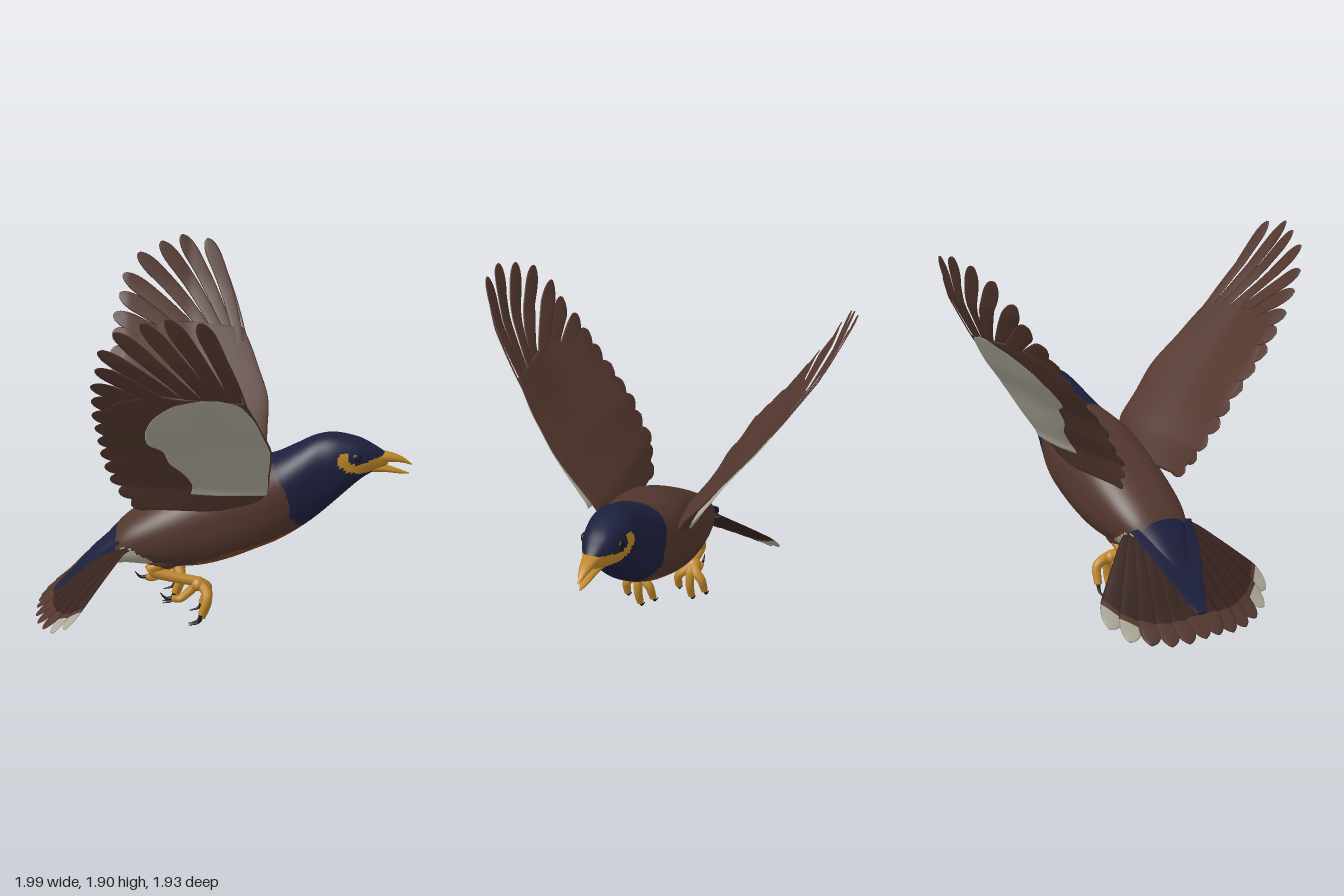
import * as THREE from 'three';

const mat = (name, color) => {
  const m = new THREE.MeshStandardMaterial({ color, side: THREE.DoubleSide });
  m.name = name;
  return m;
};
const brown = mat('brown plumage', 0x53372e), dark = mat('dark tail brown', 0x38241f);
const navy = mat('navy hood', 0x1d203e), rust = mat('rust belly', 0x7a4828);
const grey = mat('pale grey', 0xb0ab9c), yellow = mat('yellow skin', 0xbf8729);
const black = mat('black claw', 0x1d1718);

const V = (x, y, z) => new THREE.Vector3(x, y, z);
const lerp = THREE.MathUtils.lerp, clamp = THREE.MathUtils.clamp;

// Linear lookup in a table of [key, value] with rising keys
function look(table, k) {
  let i = 0;
  while (i < table.length - 2 && k > table[i + 1][0]) i++;
  const [a, b] = [table[i], table[i + 1]];
  return lerp(a[1], b[1], clamp((k - a[0]) / (b[0] - a[0]), 0, 1));
}

function inside(poly, x, y) {
  let hit = false;
  poly.forEach(([ax, ay], i) => {
    const [bx, by] = poly[(i + 1) % poly.length];
    if ((ay > y) !== (by > y) && x < ax + (bx - ax) * (y - ay) / (by - ay)) hit = !hit;
  });
  return hit;
}

// Skin closed rings; pick(centre, u) chooses a material index for each quad
function loft(name, rings, mats, pick = () => 0) {
  const centre = (r) => r.reduce((s, p) => s.add(p), V(0, 0, 0)).divideScalar(r.length);
  const cap = (r) => { const c = centre(r); return r.map(() => c); };
  const all = [cap(rings[0]), ...rings, cap(rings[rings.length - 1])];
  const m = rings[0].length, list = [].concat(mats), buckets = list.map(() => []);
  for (let i = 0; i < all.length - 1; i++) for (let j = 0; j < m; j++) {
    const k = (j + 1) % m, a = i * m + j, b = i * m + k, c = a + m, d = b + m;
    const mid = centre([all[i][j], all[i][k], all[i + 1][j], all[i + 1][k]]);
    buckets[pick(mid, i / (all.length - 2))].push(a, b, c, b, d, c);
  }
  const geo = new THREE.BufferGeometry().setFromPoints(all.flat());
  geo.setIndex(buckets.flat());
  let start = 0;
  buckets.forEach((b, i) => { geo.addGroup(start, b.length, i); start += b.length; });
  geo.computeVertexNormals();
  const mesh = new THREE.Mesh(geo, list.length > 1 ? list : list[0]);
  mesh.name = name;
  return mesh;
}

// Solid along x from stations [x, top, bottom, half width]
function hull(name, stations, n, m, mats, pick) {
  const s1 = new THREE.SplineCurve(stations.map((s) => new THREE.Vector2(s[0], s[1])));
  const s2 = new THREE.SplineCurve(stations.map((s) => new THREE.Vector2(s[2], s[3])));
  const pw = (v) => Math.sign(v) * Math.abs(v) ** 0.84;
  const rings = [];
  for (let i = 0; i <= n; i++) {
    const p = s1.getPoint(i / n), q = s2.getPoint(i / n);
    rings.push(Array.from({ length: m }, (_, j) => {
      const a = (j / m) * Math.PI * 2;
      return V(p.x, (p.y + q.x) / 2 + (p.y - q.x) / 2 * pw(Math.sin(a)), q.y * pw(Math.cos(a)));
    }));
  }
  return loft(name, rings, mats, pick);
}

// Thin lens between two edge lines, laid on a curved surface by map(a, b, offset)
function sheet(name, edgeA, edgeB, map, half, off, mats, { n = 36, m = 32, pick } = {}) {
  const [A, B] = [edgeA, edgeB].map((e) => new THREE.SplineCurve(e.map((p) => new THREE.Vector2(...p))));
  const rings = [];
  for (let i = 0; i <= n; i++) {
    const a = A.getPoint(i / n), b = B.getPoint(i / n);
    rings.push(Array.from({ length: m }, (_, j) => {
      const t = (j / m) * Math.PI * 2, w = 0.5 - 0.5 * Math.cos(t);
      return map(lerp(a.x, b.x, w), lerp(a.y, b.y, w), off + half * Math.sin(t));
    }));
  }
  return loft(name, rings, mats, pick);
}

// Round-tipped feather
function feather(name, base, tip, w, bend, map, off, mats, pick) {
  const dx = tip[0] - base[0], dy = tip[1] - base[1], len = Math.hypot(dx, dy);
  const A = [], B = [], n = 20;
  for (let i = 0; i <= n; i++) {
    const u = Math.sin((i / n) * Math.PI / 2);
    const r = w * (0.6 + 0.4 * u) * (u > 0.8 ? Math.sqrt(Math.max(0.002, 1 - ((u - 0.8) / 0.2) ** 2)) : 1);
    const s = bend * Math.sin(u * Math.PI), nx = -dy / len, ny = dx / len;
    const x = base[0] + dx * u, y = base[1] + dy * u;
    A.push([x + nx * (s + r), y + ny * (s + r)]);
    B.push([x + nx * (s - r), y + ny * (s - r)]);
  }
  return sheet(name, A, B, map, 0.005, off, mats, { n, m: 10, pick });
}

// Tube that narrows from r0 to r1
function taper(name, pts, r0, r1, material) {
  const curve = new THREE.CatmullRomCurve3(pts.map((p) => V(...p))), n = 14, sides = 10;
  const geo = new THREE.TubeGeometry(curve, n, r0, sides), pos = geo.attributes.position;
  for (let i = 0; i < pos.count; i++) {
    const u = Math.floor(i / (sides + 1)) / n, c = curve.getPointAt(u);
    const p = V(0, 0, 0).fromBufferAttribute(pos, i).sub(c).multiplyScalar(lerp(1, r1 / r0, u)).add(c);
    pos.setXYZ(i, p.x, p.y, p.z);
  }
  const mesh = new THREE.Mesh(geo, material);
  mesh.name = name;
  return mesh;
}

function blob(name, p, r, material) {
  const mesh = new THREE.Mesh(new THREE.SphereGeometry(1, 24, 16), material);
  mesh.name = name;
  mesh.position.set(...p);
  mesh.scale.set(...r);
  return mesh;
}

const tailLine = [[-1, .08], [-.85, .2], [-.7, .36], [-.5, .53]];

// Body and head with plumage zones
function makeBody() {
  const face = [[.595, .93], [.61, .975], [.65, .975], [.665, .92], [.73, .908], [.78, .93], [.88, .945],
    [.88, .86], [.78, .86], [.72, .858], [.64, .88]];
  const hood = [[.5, .5], [.58, .42], [.65, .36], [.75, .35], [.85, .3], [.93, .26]];
  const zone = (c) => {
    const rump = look(tailLine, c.x) - 0.05;
    if (inside(face, c.x, c.y)) return 4;
    if (c.x > look(hood, c.y)) return 1;
    if (c.x < -0.55 && c.y > rump) return 1;
    if (c.x < -0.36 && c.y < Math.min(0.4 - 0.6 * (c.x + 0.36), 0.47, rump)) return 3;
    if (c.x < 0.1 && c.x > -0.22 && c.y < 0.45 && Math.abs(c.z) < Math.min(0.075, 0.35 * (0.12 - c.x))) return 3;
    if (c.x < 0.37 && c.x > -0.22 && c.y < 0.43 + 0.34 * c.x) return 2;
    return 0;
  };
  return hull('body', [[.87, .94, .88, .03], [.8, .985, .85, .065], [.72, 1.025, .8, .1], [.6, 1.05, .69, .13],
    [.5, 1.035, .6, .145], [.4, .985, .53, .175], [.3, .935, .475, .205], [.2, .91, .435, .225],
    [.05, .88, .375, .232], [-.1, .82, .335, .228], [-.25, .74, .328, .22], [-.4, .65, .34, .198],
    [-.5, .58, .345, .168], [-.58, .5, .33, .125], [-.7, .37, .305, .065], [-.8, .25, .235, .01]], 160, 72,
  [brown, navy, rust, grey, yellow], zone);
}

// Raised wing on the +z side: thick at the root, thin outside
function makeWing() {
  const g = new THREE.Group();
  const rise = [[.68, .17], [.845, .25], [.96, .345], [1.08, .435], [1.26, .585], [1.44, .715], [1.65, .855], [1.9, .97]];
  const map = (x, y, o) => V(x, y, look(rise, y)
    + o * (0.6 + 2.4 * clamp((1.15 - y) / 0.35, 0, 1) * clamp((x + 0.35) / 0.35, 0, 1))
    - 0.07 * clamp((-0.18 - x) / 0.34, 0, 1) * clamp((y - 0.7) / 0.4, 0, 1));
  g.add(sheet('wingPanel', [[.18, .7], [.24, .82], [.25, .95], [.255, 1.1], [.205, 1.24], [.165, 1.34], [.12, 1.43]],
    [[-.4, .69], [-.49, .8], [-.53, .93], [-.56, 1.1], [-.57, 1.26], [-.5, 1.4], [-.28, 1.47]],
    map, 0.015, 0, brown));
  // pale patch under the wing
  const patch = [[.81, -.15, .235], [.87, -.14, .24], [.95, -.18, .24], [1.02, -.25, .245], [1.1, -.28, .245],
    [1.14, -.35, .235], [1.22, -.36, .205], [1.3, -.33, .175], [1.36, -.28, .14], [1.42, -.2, .09], [1.45, -.08, -.01]];
  g.add(sheet('underwingPatch', patch.map((p) => [p[1], p[0]]), patch.map((p) => [p[2], p[0]]),
    map, 0.004, 0.016, grey));
  // spread primaries, front to back
  [[-.085, 1.88], [-.23, 1.9], [-.345, 1.87], [-.47, 1.815], [-.55, 1.71], [-.57, 1.61], [-.6, 1.51]]
    .forEach((tip, i) => g.add(feather('primaryFeather', [lerp(.1, -.1, i / 6), lerp(1.36, 1.26, i / 6)], tip,
      0.045, -0.015, map, (i % 2) * 0.01 - 0.005, brown)));
  g.add(feather('leadingFeather', [.14, 1.36], [0, 1.76], 0.008, -0.01, map, 0.004, brown));
  // scalloped secondaries
  [[-.605, 1.42], [-.61, 1.33], [-.605, 1.24], [-.6, 1.15], [-.595, 1.06], [-.58, .97], [-.56, .88], [-.52, .8], [-.46, .72]]
    .forEach((tip, i) => g.add(feather('secondaryFeather', [-.05, 1.25 - i * 0.055], tip,
      0.056, 0, map, (i % 2) * 0.007 - 0.004, brown)));
  return g;
}

// Half of the tail fan, drooping and stacked lower towards the outside
const tailMap = (x, z, o) => V(x, look(tailLine, x) - 0.25 * z * z + o - 0.015, z);
function makeTailHalf() {
  const g = new THREE.Group();
  [[-.99, .04], [-.985, .13], [-.965, .22], [-.925, .31], [-.87, .4], [-.79, .47]].forEach((tip, i) =>
    g.add(feather('tailFeather', [-.5, .02 + i * .028], tip, 0.064, 0, tailMap, -0.009 * i,
      [dark, brown, grey], (c, u) => (u < 0.58 ? 0 : i > 3 && u > 0.62 ? 2 : 1))));
  return g;
}

// Leg with three front toes and a hind toe, each ending in a claw
function makeLeg(side, dx, dy) {
  const g = new THREE.Group(), z = 0.125 * side;
  const at = (x, y, o = 0) => [x + dx, y + dy, z + o];
  g.add(blob('thigh', [-.3, .385, z * 0.85], [.1, .055, .06], brown));
  g.add(taper('shank', [[-.28, .38, z], [-.37, .33, z], at(-.26, .29), at(-.14, .265)], .035, .027, yellow));
  g.add(blob('footPad', at(-.13, .25), [.04, .038, .045], yellow));
  [-1, 0, 1].forEach((k) => {
    const s = k * 0.066, up = Math.abs(k) * 0.05;
    g.add(taper('frontToe', [at(-.13, .26), at(-.085, .22, s * .6), at(-.08, .14 + up, s), at(-.11, .055 + up, s * 1.15)],
      .03, .02, yellow));
    g.add(taper('frontClaw', [at(-.11, .06 + up, s * 1.15), at(-.13, .022 + up, s * 1.2), at(-.18, .006 + up, s * 1.2)],
      .012, .002, black));
  });
  g.add(taper('hindToe', [at(-.13, .255), at(-.18, .2), at(-.23, .16), at(-.27, .165)], .027, .018, yellow));
  g.add(taper('hindClaw', [at(-.265, .165), at(-.3, .165), at(-.33, .195)], .012, .002, black));
  return g;
}

export function createModel() {
  const model = new THREE.Group();
  model.name = 'bird';
  model.add(makeBody());
  // open beak
  model.add(hull('upperBeak', [[.77, .95, .9, .06], [.86, .95, .898, .042], [.94, .925, .893, .024], [1, .882, .876, .003]],
    24, 24, yellow));
  model.add(hull('lowerBeak', [[.76, .895, .845, .055], [.85, .878, .842, .036], [.93, .853, .832, .02], [.985, .834, .829, .003]],
    24, 24, yellow));
  // paired parts, mirrored across z
  for (const [side, name] of [[1, 'right'], [-1, 'left']]) {
    const half = new THREE.Group();
    half.name = name + 'Side';
    const wing = makeWing(), tail = makeTailHalf();
    wing.name = name + 'Wing';
    tail.name = name + 'Tail';
    half.add(wing, tail, blob('eye', [.7, .945, .098], [.026, .024, .014], black));
    half.scale.z = side;
    model.add(half);
  }
  // tail coverts above and below
  model.add(sheet('upperTailCoverts', [[-.53, .18], [-.65, .145], [-.78, .085], [-.9, .025]],
    [[-.53, -.18], [-.65, -.145], [-.78, -.085], [-.9, -.025]], tailMap, 0.005, 0.014, navy));
  model.add(sheet('underTailCoverts', [[-.5, .13], [-.6, .12], [-.7, .09], [-.79, .04]],
    [[-.5, -.13], [-.6, -.12], [-.7, -.09], [-.79, -.04]], tailMap, 0.005, -0.045, grey));
  const rightLeg = makeLeg(1, 0.01, 0), leftLeg = makeLeg(-1, -0.14, 0.012);
  rightLeg.name = 'rightLeg';
  leftLeg.name = 'leftLeg';
  model.add(rightLeg, leftLeg);
  return model;
}
